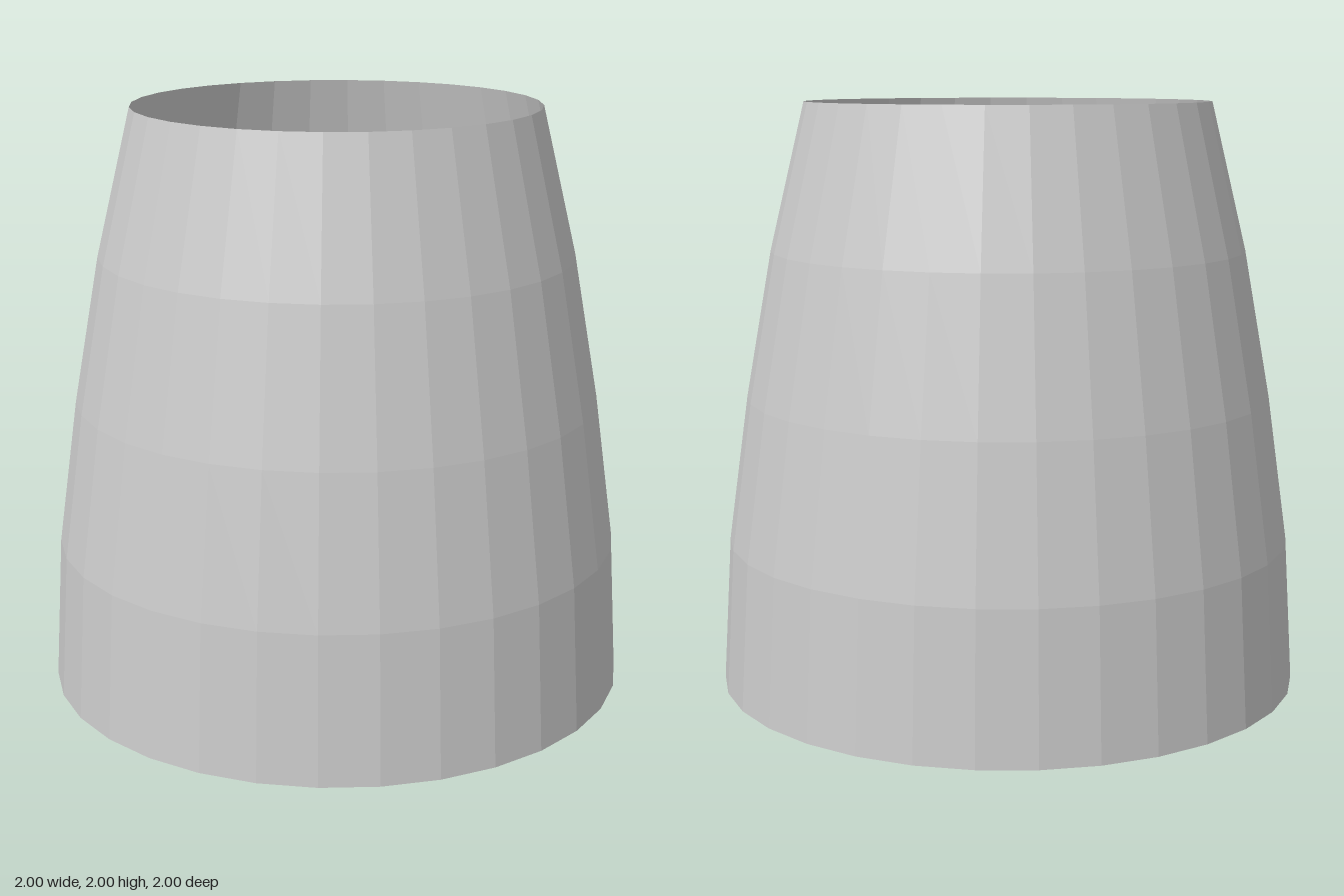
import * as THREE from 'three';

export function createModel() {
  const group = new THREE.Group();
  const material = new THREE.MeshStandardMaterial({
    color: 0xcccccc,
    flatShading: true,
    side: THREE.DoubleSide,
  });

  // Open tapered sleeve: radius at evenly spaced heights, bottom to top
  const height = 2;
  const radii = [1, 0.97, 0.9, 0.81, 0.69];
  const profile = radii.map(
    (r, i) => new THREE.Vector2(r, (i / (radii.length - 1)) * height)
  );
  const shell = new THREE.Mesh(new THREE.LatheGeometry(profile, 32), material);
  shell.name = 'taperedShell';
  group.add(shell);

  return group;
}
